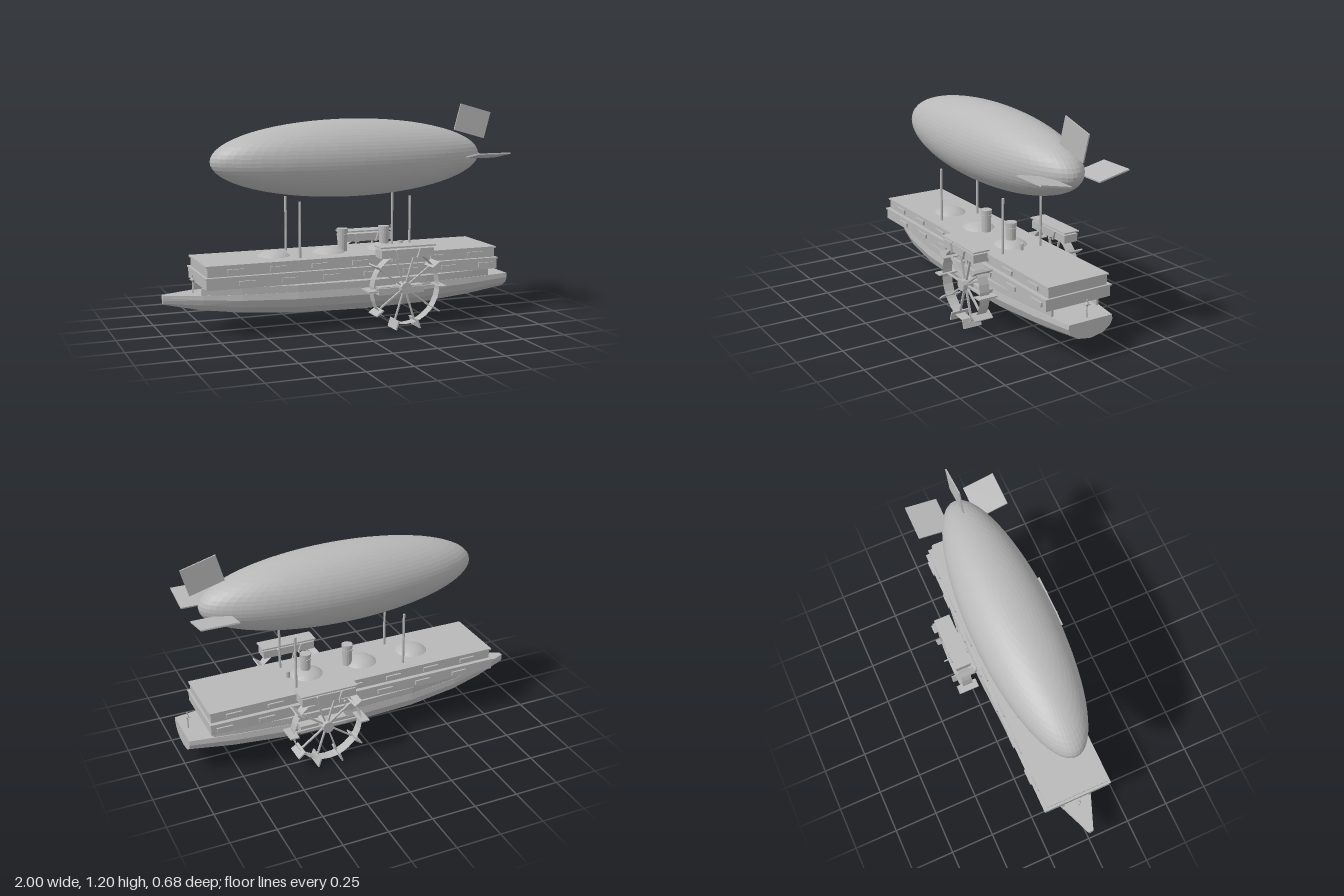
import * as THREE from 'three';

export function createModel() {
  const model = new THREE.Group();
  model.name = 'paddleAirship';
  const grey = new THREE.MeshStandardMaterial({ color: 0xb8b8b8, flatShading: true, side: THREE.DoubleSide });
  grey.name = 'plainGrey';

  const add = (name, geometry, x = 0, y = 0, z = 0, parent = model) => {
    const mesh = new THREE.Mesh(geometry, grey);
    mesh.name = name;
    mesh.position.set(x, y, z);
    parent.add(mesh);
    return mesh;
  };
  // Box given by its limits
  const block = (name, x0, x1, y0, y1, z0, z1, parent = model) =>
    add(name, new THREE.BoxGeometry(x1 - x0, y1 - y0, z1 - z0), (x0 + x1) / 2, (y0 + y1) / 2, (z0 + z1) / 2, parent);
  // Upright cylinder from y0 to y1
  const post = (name, x, y0, y1, z, r, sides = 16) =>
    add(name, new THREE.CylinderGeometry(r, r, y1 - y0, sides), x, (y0 + y1) / 2, z);

  // Closed skin through rings of [z, y] points at given x stations
  const loft = (stations) => {
    const n = stations[0].ring.length;
    const pos = [], idx = [];
    for (const s of stations) for (const [z, y] of s.ring) pos.push(s.x, y, z);
    for (let i = 0; i < stations.length - 1; i++)
      for (let j = 0; j < n; j++) {
        const a = i * n + j, b = a + n, c = i * n + (j + 1) % n, d = c + n;
        idx.push(a, c, b, b, c, d);
      }
    const last = (stations.length - 1) * n;
    for (let j = 1; j < n - 1; j++) idx.push(0, j + 1, j, last, last + j, last + j + 1);
    const g = new THREE.BufferGeometry();
    g.setAttribute('position', new THREE.Float32BufferAttribute(pos, 3));
    g.setIndex(idx);
    g.computeVertexNormals();
    return g;
  };

  // Hull: x, half width, keel height
  const deckY = 0.225;
  const lines = [[-1, 0.015, 0.175], [-0.8, 0.095, 0.128], [-0.6, 0.15, 0.1], [-0.3, 0.195, 0.077],
    [0.1, 0.21, 0.066], [0.45, 0.205, 0.074], [0.75, 0.175, 0.097], [1, 0.135, 0.128]];
  const half = [[0.97, 0], [1, 0.25], [0.9, 0.56], [0.56, 0.87]];
  add('hull', loft(lines.map(([x, w, keel]) => {
    const side = (s) => half.map(([fz, fy]) => [s * fz * w, deckY - fy * (deckY - keel)]);
    return { x, ring: [...side(1), [0, keel], ...side(-1).reverse()] };
  })));

  // Bulwarks along both deck edges
  const rail = [[-0.81, 0.088], [-0.6, 0.143], [-0.3, 0.188], [0.1, 0.203], [0.45, 0.197], [0.75, 0.165], [0.87, 0.145]];
  for (const s of [1, -1])
    add(s > 0 ? 'leftBulwark' : 'rightBulwark', loft(rail.map(([x, w]) => {
      const o = s > 0 ? w : -w + 0.012, i = o - 0.012;
      return { x, ring: [[o, 0.263], [o, 0.222], [i, 0.222], [i, 0.263]] };
    })));

  // Two cabin tiers with overhanging plates
  block('lowerCabin', -0.81, 0.895, 0.272, 0.33, -0.198, 0.198);
  block('middlePlate', -0.815, 0.9, 0.329, 0.337, -0.204, 0.204);
  block('upperCabin', -0.8, 0.888, 0.337, 0.39, -0.18, 0.18);
  block('roof', -0.81, 0.895, 0.389, 0.398, -0.187, 0.187);

  // Window frames on both sides
  for (const s of [1, -1])
    for (let i = 0; i < 7; i++) {
      const x = -0.65 + i * 0.235;
      add('upperWindow', new THREE.BoxGeometry(0.09, 0.024, 0.016), x, 0.362, s * 0.182);
      add('lowerWindow', new THREE.BoxGeometry(0.09, 0.024, 0.016), x + 0.06, 0.3, s * 0.2);
    }

  // Roof domes, bulging below the cabin floor as well
  for (const x of [-0.38, -0.06, 0.27])
    add('dome', new THREE.SphereGeometry(1, 32, 20), x, 0.333, 0).scale.set(0.122, 0.097, 0.122);

  // Funnels with collars
  for (const x of [0.022, 0.275]) {
    post('funnel', x, 0.39, 0.51, 0, 0.027);
    post('funnelCollar', x, 0.485, 0.495, 0, 0.031);
    post('funnelCap', x, 0.505, 0.525, 0, 0.032);
  }
  post('ventPipe', 0.38, 0.39, 0.435, 0, 0.011, 12);

  // Masts under the balloon
  for (const x of [-0.27, 0.38])
    for (const z of [0.12, -0.12]) post('mast', x, 0.39, 0.705, z, 0.007, 10);

  // Small deck posts at bow and stern
  for (const x of [-0.835, 0.965]) {
    post('deckPost', x, 0.224, 0.322, 0, 0.004, 8);
    add('deckPostKnob', new THREE.SphereGeometry(0.011, 8, 6), x, 0.297, 0);
    add('deckPostBar', new THREE.BoxGeometry(0.024, 0.004, 0.032), x, 0.297, 0);
  }

  // Side lamps
  for (const s of [1, -1]) {
    post('lampStem', 0.13, 0.27, 0.316, s * 0.209, 0.003, 6);
    add('sideLamp', new THREE.SphereGeometry(0.009, 8, 6), 0.13, 0.295, s * 0.209);
  }

  // Paddle wheels with brackets and covers
  for (const s of [1, -1]) {
    const wheel = new THREE.Group();
    wheel.name = s > 0 ? 'leftPaddleWheel' : 'rightPaddleWheel';
    wheel.position.set(0.275, 0.225, s * 0.287);
    model.add(wheel);
    add('rim', new THREE.CylinderGeometry(0.197, 0.197, 0.06, 30, 1, true), 0, 0, 0, wheel).rotation.x = Math.PI / 2;
    add('hub', new THREE.CylinderGeometry(0.033, 0.033, 0.06, 10), 0, 0, 0, wheel).rotation.x = Math.PI / 2;
    add('axle', new THREE.CylinderGeometry(0.014, 0.014, 0.14, 10), 0, 0, -s * 0.06, wheel).rotation.x = Math.PI / 2;
    for (let i = 0; i < 10; i++) {
      const arm = new THREE.Group();
      arm.name = 'paddleArm';
      arm.rotation.z = i * Math.PI / 5;
      wheel.add(arm);
      block('spoke', 0.02, 0.2, -0.004, 0.004, -0.006, 0.006, arm);
      block('paddle', 0.18, 0.232, -0.004, 0.004, -0.055, 0.055, arm);
    }
    const z = s * 0.287;
    block('wheelCover', 0.12, 0.43, 0.4, 0.445, z - 0.043, z + 0.043);
    block('wheelCoverRoof', 0.112, 0.438, 0.455, 0.463, z - 0.048, z + 0.048);
    block('wheelBracket', 0.14, 0.41, 0.182, 0.226, s * 0.215 - 0.035, s * 0.215 + 0.035);
  }

  // Balloon
  add('balloon', new THREE.SphereGeometry(1, 64, 32), 0.066, 0.92, 0).scale.set(0.795, 0.215, 0.232);

  // Tail fins
  add('topFin', new THREE.BoxGeometry(0.2, 0.155, 0.008), 0.828, 1.105, 0).rotation.z = -0.27;
  for (const s of [1, -1])
    add('sideFin', new THREE.BoxGeometry(0.205, 0.008, 0.186), 0.828, 0.919, s * 0.173).rotation.x = -s * 0.2;

  return model;
}
